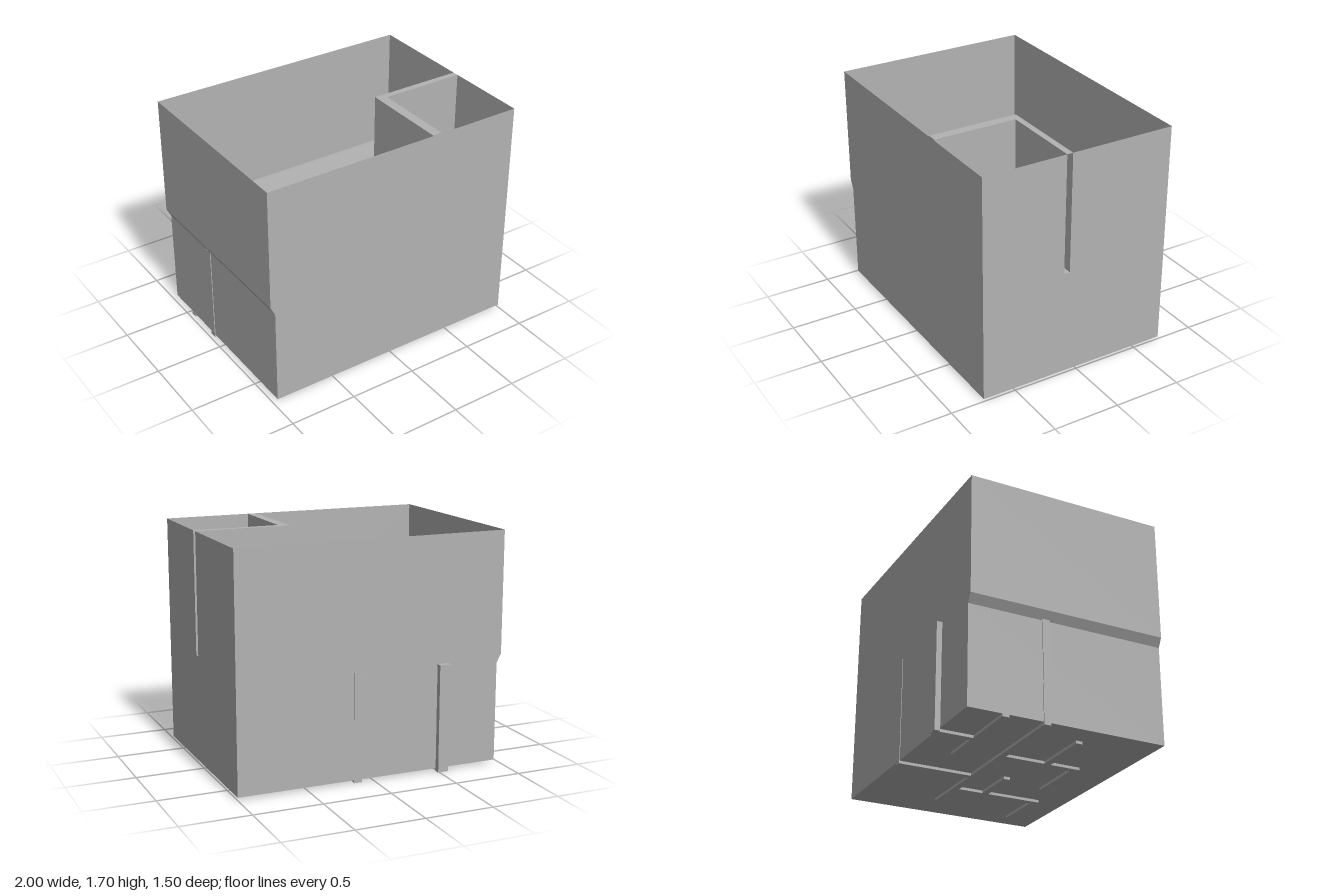
import * as THREE from 'three';

export function createModel() {
  const model = new THREE.Group();
  const grey = new THREE.MeshStandardMaterial({ color: 0xb3b3b3, side: THREE.DoubleSide });
  grey.name = 'plain grey';

  const add = (name, geometry, parent = model) => {
    const mesh = new THREE.Mesh(geometry, grey);
    mesh.name = name;
    parent.add(mesh);
    return mesh;
  };
  const shape = (points) => new THREE.Shape(points.map(([x, y]) => new THREE.Vector2(x, y)));
  const rect = (a0, b0, a1, b1) => [[a0, b0], [a1, b0], [a1, b1], [a0, b1]];
  // Box given by its two opposite corners
  const block = (name, [x0, y0, z0], [x1, y1, z1], parent) => {
    const mesh = add(name, new THREE.BoxGeometry(x1 - x0, y1 - y0, z1 - z0), parent);
    mesh.position.set((x0 + x1) / 2, (y0 + y1) / 2, (z0 + z1) / 2);
    return mesh;
  };
  // Flat sheet facing along z, x or y
  const sheetZ = (name, points, z, parent) => {
    add(name, new THREE.ShapeGeometry(shape(points)), parent).position.z = z;
  };
  const sheetX = (name, points, x, parent) => { // points are (z, y)
    const g = new THREE.ShapeGeometry(shape(points.map(([z, y]) => [-z, y])));
    g.rotateY(Math.PI / 2);
    add(name, g, parent).position.x = x;
  };
  const sheetY = (name, points, y, parent, hole) => { // points are (x, z)
    const s = shape(points.map(([x, z]) => [x, -z]));
    if (hole) s.holes.push(shape(hole.map(([x, z]) => [x, -z])));
    const g = new THREE.ShapeGeometry(s);
    g.rotateX(-Math.PI / 2);
    add(name, g, parent).position.y = y;
  };

  const BOTTOM = 0.02, FLOOR = 0.81, TOP = 1.7, BACK = -0.715, FRONT = 0.75, SIDE = -0.966;

  // Thin outer walls, stepped in below the floor on one side
  const profile = [[SIDE, BOTTOM], [1, BOTTOM], [1, TOP], [-1, TOP], [-1, FLOOR], [SIDE, 0.745]];
  sheetZ('frontWall', profile, FRONT);
  sheetZ('backWall', profile, BACK);
  sheetX('rightUpperWall', rect(BACK, FLOOR, FRONT, TOP), -1);
  sheetX('rightLowerWall', rect(BACK, BOTTOM, FRONT, 0.745), SIDE);
  const slant = new THREE.PlaneGeometry(Math.hypot(1 + SIDE, FLOOR - 0.745), FRONT - BACK);
  slant.rotateX(-Math.PI / 2);
  slant.rotateZ(Math.atan2(FLOOR - 0.745, -1 - SIDE));
  add('wallStep', slant).position.set((SIDE - 1) / 2, (FLOOR + 0.745) / 2, (BACK + FRONT) / 2);

  // Side wall with the slot that opens into the hollow partition
  const z0 = 0.075, z1 = 0.12;
  sheetX('leftWall', [[BACK, BOTTOM], [FRONT, BOTTOM], [FRONT, TOP], [z1, TOP],
    [z1, FLOOR], [z0, FLOOR], [z0, TOP], [BACK, TOP]], 1);

  // Underside, room floor and square floor recess
  sheetY('underside', rect(SIDE, BACK, 1, FRONT), BOTTOM);
  const pit = rect(-0.94, 0.51, -0.76, 0.67);
  sheetY('roomFloor', rect(-1, BACK, 1, FRONT), FLOOR, model, pit);
  const recess = new THREE.Group();
  recess.name = 'floorRecess';
  model.add(recess);
  for (const z of [0.51, 0.67]) sheetZ('recessSide', rect(-0.94, 0.61, -0.76, FLOOR), z, recess);
  for (const x of [-0.94, -0.76]) sheetX('recessSide', rect(0.51, 0.61, 0.67, FLOOR), x, recess);
  sheetY('recessBottom', pit, 0.61, recess);

  // Corner room: hollow back partition and side partition with a doorway
  const partition = new THREE.Group();
  partition.name = 'partition';
  model.add(partition);
  for (const z of [z0, z1]) sheetZ('partitionFace', rect(0.3, FLOOR, 1, TOP), z, partition);
  sheetX('partitionEnd', rect(z0, FLOOR, z1, TOP), 0.3, partition);
  sheetY('partitionTop', rect(0.3, z0, 1, z1), TOP, partition);
  block('sidePartition', [0.3, FLOOR, z1], [0.37, TOP, 0.43], partition);
  block('doorLintel', [0.3, 1.19, 0.43], [0.37, TOP, 0.742], partition);

  // Raised channels under the base, as runs [x0, z0, x1, z1] along their centre lines
  const channels = new THREE.Group();
  channels.name = 'baseChannels';
  model.add(channels);
  const h = 0.024;
  const runs = [
    [0.68, -0.145, -0.946, -0.145],
    [0.12, -0.695, 0.12, -0.145],
    [0.41, -0.145, 0.41, 0.508], [0.41, 0.508, 0.796, 0.508],
    [0.41, 0.09, 0.07, 0.09],
    [-0.325, -0.145, -0.325, 0.43], [-0.325, 0.43, 0.116, 0.43],
    [-0.325, 0.2, -0.756, 0.2],
    [-0.53, -0.731, -0.53, -0.445], [-0.24, -0.445, -0.946, -0.445],
  ];
  for (const [xa, za, xb, zb] of runs) {
    block('channel', [Math.min(xa, xb) - h, 0, Math.min(za, zb) - h],
      [Math.max(xa, xb) + h, BOTTOM, Math.max(za, zb) + h], channels);
  }

  // Upright pipes continuing the channels on the outside walls
  block('backPipe', [-0.57, 0, -0.755], [-0.49, 0.785, BACK]);
  block('backStrip', [0.09, 0, -0.719], [0.15, 0.79, BACK]);
  block('sideStrip', [-0.972, 0, -0.17], [SIDE, 0.755, -0.12]);

  return model;
}
